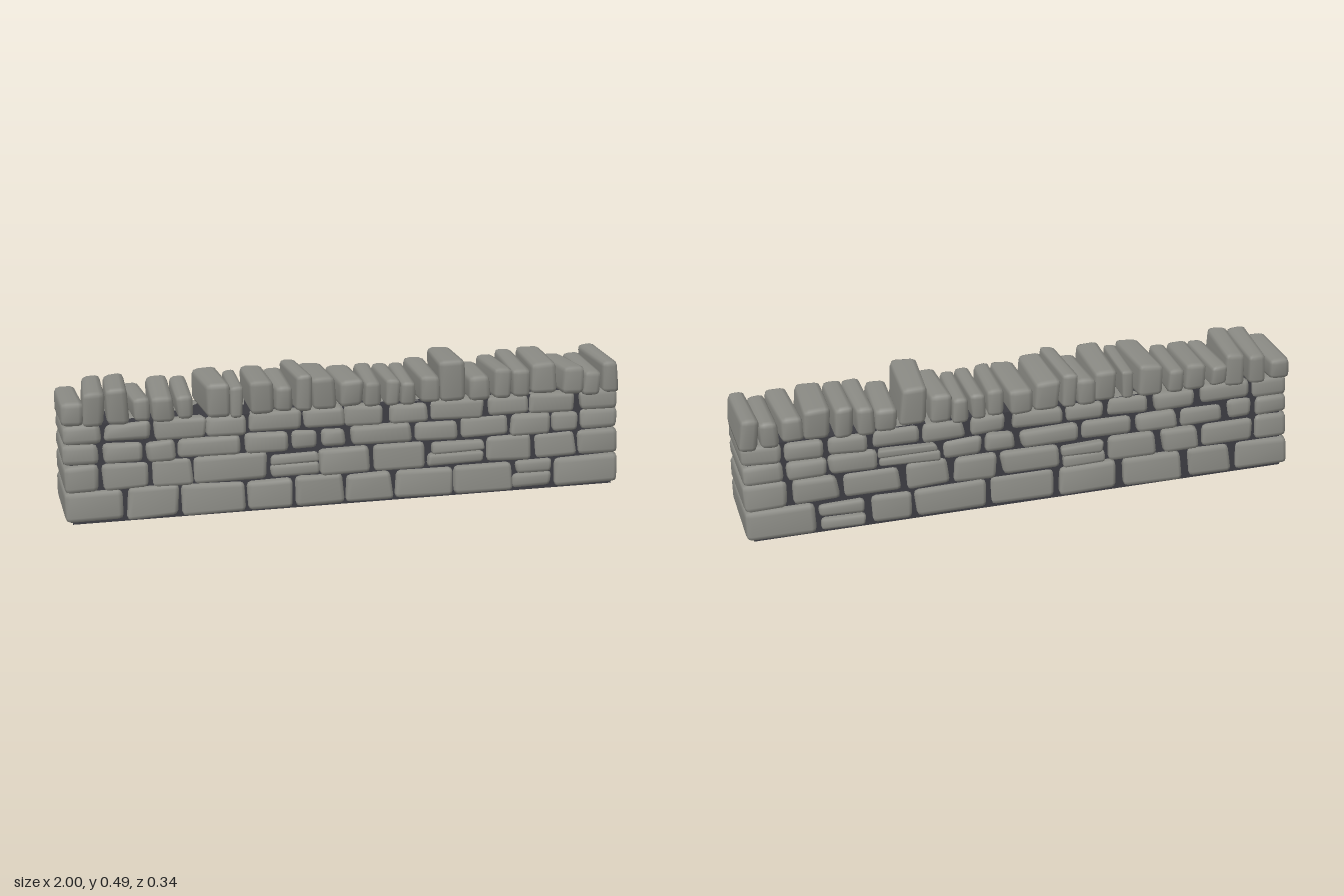
import * as THREE from 'three';
import { RoundedBoxGeometry } from 'three/addons/geometries/RoundedBoxGeometry.js';
import { mergeVertices } from 'three/addons/utils/BufferGeometryUtils.js';

const stoneMat = new THREE.MeshStandardMaterial({ color: 0x8a8a84 });
const hollowStoneMat = new THREE.MeshStandardMaterial({ color: 0x8a8a84, side: THREE.DoubleSide });
const coreMat = new THREE.MeshStandardMaterial({ color: 0x3a3a40, side: THREE.DoubleSide });

// The wall narrows towards the top
const halfDepth = (y) => 0.17 - 0.145 * y;

// Courses: bottom, top, joints along x on the front and back, and stones split into two thin ones
const COURSES = [
  { y: [0.005, 0.11],
    front: [-1, -0.79, -0.61, -0.37, -0.2, -0.02, 0.16, 0.38, 0.6, 0.75, 1], frontSplit: [8],
    back: [-1, -0.79, -0.6, -0.35, -0.11, 0.14, 0.41, 0.57, 0.75, 1], backSplit: [7] },
  { y: [0.11, 0.203],
    front: [-1, -0.87, -0.7, -0.55, -0.29, -0.11, 0.08, 0.28, 0.5, 0.68, 0.84, 1], frontSplit: [4, 7],
    back: [-1, -0.87, -0.66, -0.5, -0.3, -0.13, 0.1, 0.27, 0.44, 0.66, 0.84, 1], backSplit: [4] },
  { y: [0.203, 0.273],
    front: [-1, -0.87, -0.72, -0.61, -0.38, -0.21, -0.11, 0, 0.23, 0.4, 0.59, 0.75, 0.85, 1], frontSplit: [],
    back: [-1, -0.87, -0.76, -0.58, -0.4, -0.2, 0.02, 0.15, 0.3, 0.53, 0.7, 0.85, 1], backSplit: [8] },
  { y: [0.273, 0.342],
    front: [-1, -0.86, -0.69, -0.5, -0.36, -0.17, -0.01, 0.14, 0.29, 0.5, 0.67, 0.85, 1], frontSplit: [],
    back: [-1, -0.86, -0.65, -0.48, -0.3, -0.15, 0.05, 0.2, 0.37, 0.55, 0.7, 0.85, 1], backSplit: [] },
];

// Upright cap stones: left edge, right edge, top
const CAPS = [
  [-1, -0.92, 0.425], [-0.915, -0.845, 0.458], [-0.835, -0.76, 0.465], [-0.755, -0.7, 0.425],
  [-0.685, -0.605, 0.44], [-0.6, -0.54, 0.43], [-0.51, -0.42, 0.46], [-0.415, -0.37, 0.445],
  [-0.35, -0.265, 0.465], [-0.26, -0.195, 0.44], [-0.19, -0.135, 0.472], [-0.13, -0.04, 0.455],
  [-0.03, 0.055, 0.44], [0.065, 0.125, 0.44], [0.135, 0.19, 0.435], [0.195, 0.25, 0.43],
  [0.26, 0.335, 0.45], [0.337, 0.43, 0.493], [0.445, 0.525, 0.425], [0.53, 0.6, 0.45],
  [0.605, 0.67, 0.455], [0.68, 0.775, 0.46], [0.78, 0.86, 0.44], [0.865, 0.93, 0.43], [0.935, 1, 0.455],
];

function makeRandom(seed) {
  let s = seed;
  return (amount) => {
    s = (s * 16807) % 2147483647;
    return (s / 2147483647 * 2 - 1) * amount;
  };
}

export function createModel() {
  const rand = makeRandom(4711);
  const wall = new THREE.Group();
  wall.name = 'dryStoneWall';

  // Rounded block whose eight corners are nudged; place() then moves each point.
  // A hollow stone has no underside.
  function addStone(parent, name, size, jitter, hollow, place) {
    const [w, h, d] = size;
    let geo = new RoundedBoxGeometry(w, h, d, 1, Math.min(0.02, Math.min(w, h, d) * 0.3));
    geo.deleteAttribute('normal');
    geo.deleteAttribute('uv');
    geo.clearGroups();
    geo = mergeVertices(geo, 1e-5);
    const p = geo.attributes.position;
    if (hollow) {
      const kept = [];
      const ids = geo.index.array;
      for (let i = 0; i < ids.length; i += 3) {
        const tri = [ids[i], ids[i + 1], ids[i + 2]];
        if (tri.some((id) => p.getY(id) > -h / 2 + 1e-4)) kept.push(...tri);
      }
      geo.setIndex(kept);
    }
    const corners = Array.from({ length: 8 }, () =>
      new THREE.Vector3(rand(jitter[0]), rand(jitter[1]), rand(jitter[2])));
    const v = new THREE.Vector3();
    for (let i = 0; i < p.count; i++) {
      v.fromBufferAttribute(p, i);
      const t = [v.x / w + 0.5, v.y / h + 0.5, v.z / d + 0.5];
      corners.forEach((c, k) => {
        const weight = t.reduce((a, f, axis) => a * ((k >> axis) & 1 ? f : 1 - f), 1);
        v.addScaledVector(c, weight);
      });
      place(v, t);
      p.setXYZ(i, v.x, v.y, v.z);
    }
    geo.computeVertexNormals();
    const mesh = new THREE.Mesh(geo, hollow ? hollowStoneMat : stoneMat);
    mesh.name = name;
    parent.add(mesh);
  }

  // Dark hearting behind the joints, open underneath and at both ends
  const coreGeo = new THREE.BoxGeometry(1.95, 0.34, 2);
  const faces = Array.from(coreGeo.index.array);
  coreGeo.setIndex([...faces.slice(12, 18), ...faces.slice(24)]);
  coreGeo.clearGroups();
  coreGeo.translate(0, 0.17, 0);
  const cp = coreGeo.attributes.position;
  for (let i = 0; i < cp.count; i++) {
    cp.setZ(i, cp.getZ(i) * (halfDepth(cp.getY(i)) - 0.022));
  }
  coreGeo.computeVertexNormals();
  const core = new THREE.Mesh(coreGeo, coreMat);
  core.name = 'core';
  wall.add(core);

  // One face stone; back stones reach deep into the wall and narrow inwards
  function faceStone(parent, x0, x1, y0, y1, side, hollow) {
    const cx = (x0 + x1) / 2, cy = (y0 + y1) / 2, out = rand(0.006);
    const depth = side > 0 ? 0.055 : 1.5 * halfDepth(cy);
    const name = side > 0 ? 'frontStone' : 'backStone';
    addStone(parent, name, [x1 - x0, y1 - y0, depth], [0.009, 0.005, 0.004], hollow, (v, t) => {
      if (side < 0) v.x *= 1 - 0.45 * t[2];
      v.x += cx;
      v.y = Math.max(0.003, v.y + cy);
      v.z += side * (halfDepth(v.y) - 0.004 + out - depth / 2);
    });
  }

  COURSES.forEach((course, n) => {
    const group = new THREE.Group();
    group.name = 'course' + (n + 1);
    wall.add(group);
    const [y0, y1] = course.y;
    const hollow = n === 0;

    // End stones run through the full depth
    for (const side of [-1, 1]) {
      const inner = side < 0 ? course.front[1] : course.front[course.front.length - 2];
      const w = 1 - Math.abs(inner) - 0.006, h = y1 - y0 + 0.003;
      const name = side > 0 ? 'leftEndStone' : 'rightEndStone';
      addStone(group, name, [w, h, 0.3], [0.005, 0.004, 0.006], hollow, (v) => {
        v.x = THREE.MathUtils.clamp(v.x + side * (1 - w / 2), -1, 1);
        v.y = Math.max(0.003, v.y + (y0 + y1) / 2);
        v.z *= (halfDepth(v.y) - 0.006) / 0.15;
      });
    }

    // Stones on both faces
    for (const [joints, splits, side] of [[course.front, course.frontSplit, 1], [course.back, course.backSplit, -1]]) {
      for (let i = 1; i < joints.length - 2; i++) {
        const x0 = joints[i] + 0.005 + rand(0.005), x1 = joints[i + 1] - 0.005 + rand(0.005);
        const low = y0 + (n ? rand(0.004) : 0), high = y1 + rand(0.005);
        if (splits.includes(i)) {
          const mid = (low + high) / 2 + rand(0.004);
          faceStone(group, x0, x1, low + 0.003, mid, side, hollow);
          faceStone(group, x0 + 0.008, x1 + 0.003, mid, high - 0.006, side, false);
        } else {
          faceStone(group, x0, x1, low, high, side, hollow);
        }
      }
    }
  });

  // Row of upright slabs across the top, each slightly turned
  const caps = new THREE.Group();
  caps.name = 'capStones';
  wall.add(caps);
  for (const [x0, x1, top] of CAPS) {
    const bottom = 0.336 + rand(0.006), h = top - bottom;
    const turn = rand(0.07), slope = rand(0.05), lean = rand(0.08), shift = rand(0.008);
    const depth = 0.25 + rand(0.012);
    addStone(caps, 'capStone', [x1 - x0, h, depth], [0.005, 0.004, 0.006], false, (v, t) => {
      v.x += v.z * turn + v.y * lean + (x0 + x1) / 2;
      v.x = THREE.MathUtils.clamp(v.x, -1, 1);
      v.y += bottom + h / 2 + (v.z * slope - Math.abs(slope) * depth / 2) * t[1];
      v.z += shift;
    });
  }
  return wall;
}
